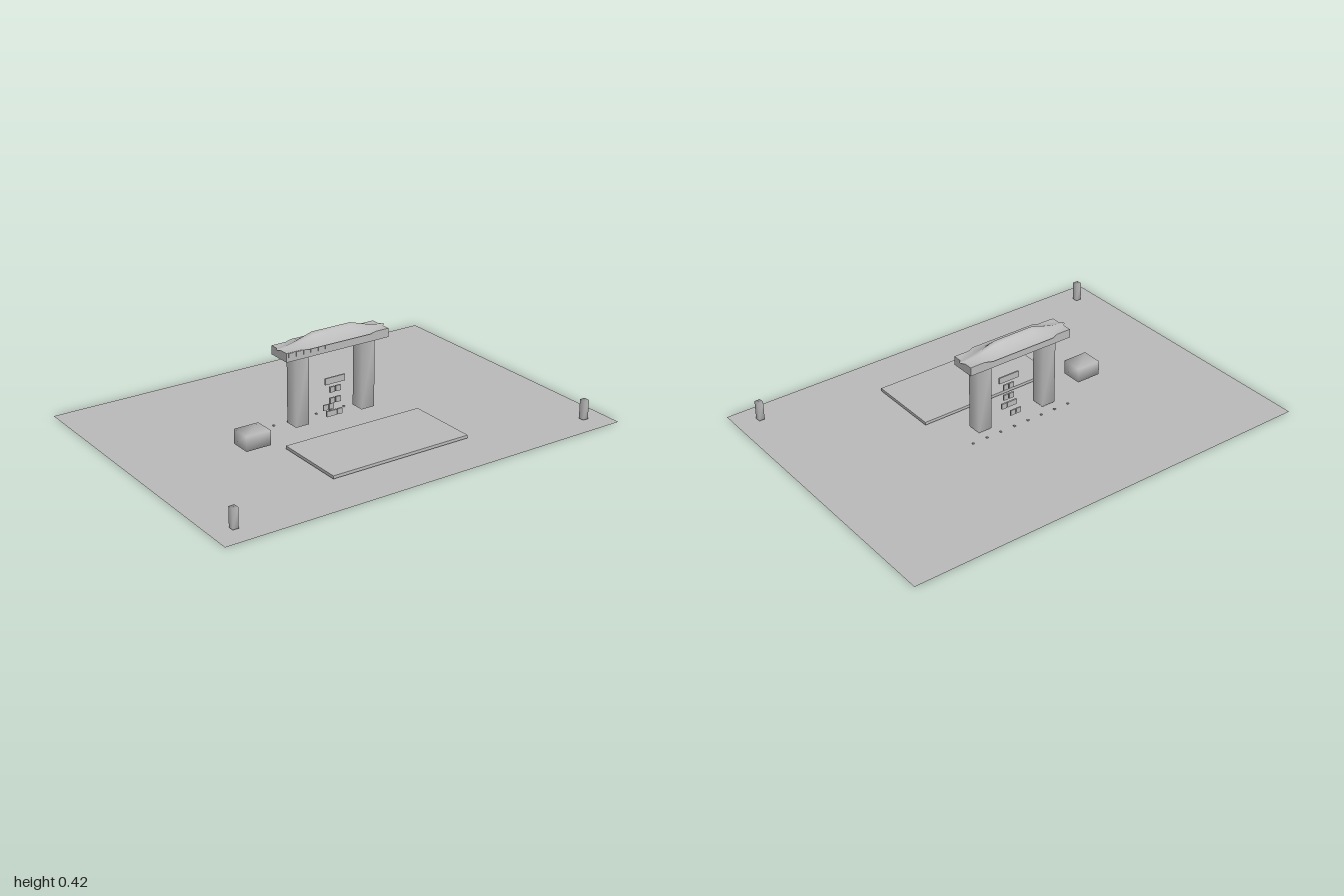
import * as THREE from 'three';
import { mergeVertices } from 'three/addons/utils/BufferGeometryUtils.js';

const stone = new THREE.MeshStandardMaterial({ color: 0xb8b8b8 });
stone.name = 'grey stone';
const ground = new THREE.MeshStandardMaterial({ color: 0xb8b8b8, side: THREE.DoubleSide });
ground.name = 'grey ground';

// Box from its limits; soft boxes share their corner normals
function block(parent, name, [x0, x1], [y0, y1], [z0, z1], soft = false) {
  let geo = new THREE.BoxGeometry(x1 - x0, y1 - y0, z1 - z0);
  if (soft) {
    geo.deleteAttribute('normal');
    geo.deleteAttribute('uv');
    geo = mergeVertices(geo);
    geo.computeVertexNormals();
  }
  const mesh = new THREE.Mesh(geo, stone);
  mesh.name = name;
  mesh.position.set((x0 + x1) / 2, (y0 + y1) / 2, (z0 + z1) / 2);
  parent.add(mesh);
  return mesh;
}

// Hipped roof with flared eaves, lofted from cross-sections along x
function roofGeometry() {
  // x, ridge height, half depth
  const half = [[0.28, 0.002, 0.002], [0.255, 0.004, 0.03], [0.2, 0.014, 0.056],
    [0.16, 0.027, 0.073], [0.1, 0.045, 0.073]];
  const stations = [...half.map(([x, h, d]) => [-x, h, d]), ...half.slice().reverse()];
  const steps = 12, ring = steps + 1, pos = [], idx = [];
  for (const [x, h, d] of stations) {
    for (let i = 0; i <= steps; i++) {
      const t = (i / steps) * 2 - 1;
      pos.push(x, 0.379 + h * Math.pow(1 - Math.abs(t), 1.6), t * d);
    }
  }
  for (let s = 0; s < stations.length - 1; s++) {
    const a = s * ring, b = a + ring;
    for (let i = 0; i < steps; i++) {
      idx.push(a + i, a + i + 1, b + i, a + i + 1, b + i + 1, b + i);
    }
  }
  // Flat underside with its own vertices
  const base = pos.length / 3;
  for (const [x, , d] of stations) pos.push(x, 0.378, -d, x, 0.378, d);
  for (let s = 0; s < stations.length - 1; s++) {
    const a = base + s * 2;
    idx.push(a, a + 2, a + 1, a + 1, a + 2, a + 3);
  }
  const geo = new THREE.BufferGeometry();
  geo.setAttribute('position', new THREE.Float32BufferAttribute(pos, 3));
  geo.setIndex(idx);
  geo.computeVertexNormals();
  return geo;
}

export function createModel() {
  const model = new THREE.Group();
  model.name = 'gateway plaza';

  const floor = new THREE.Mesh(new THREE.PlaneGeometry(2, 1.46), ground);
  floor.name = 'ground';
  floor.rotation.x = -Math.PI / 2;
  model.add(floor);

  // Low platform, side block and corner posts
  block(model, 'platform', [-0.35, 0.345], [0.005, 0.019], [0.145, 0.495]);
  block(model, 'sideBlock', [-0.515, -0.395], [0.017, 0.085], [0.0, 0.1], true);
  for (const x of [-0.897, 0.892]) {
    block(model, 'cornerPost', [x - 0.0135, x + 0.0135], [0.005, 0.095], [0.61, 0.638], true);
  }

  // Gateway
  const gate = new THREE.Group();
  gate.name = 'gateway';
  model.add(gate);
  for (const x of [-0.176, 0.171]) {
    block(gate, 'pillar', [x - 0.034, x + 0.034], [0.015, 0.338], [-0.058, 0.01], true);
  }
  block(gate, 'beam', [-0.268, 0.263], [0.338, 0.379], [-0.085, 0.032]);
  const roof = new THREE.Mesh(roofGeometry(), stone);
  roof.name = 'roof';
  roof.position.set(-0.002, 0, -0.027);
  gate.add(roof);

  // Small tiles along the left half of the beam
  for (let i = 0; i < 6; i++) {
    const x = -0.245 + i * 0.037;
    block(gate, 'beamTile', [x - 0.013, x + 0.013], [0.357, 0.378], [0.031, 0.036]);
  }

  // Floating column of tiles between the pillars
  block(gate, 'topTile', [-0.055, 0.05], [0.175, 0.205], [0.0, 0.007]);
  for (const [y, centres, z] of [
    [0.147, [-0.016, 0.014], 0.003],
    [0.095, [-0.016, 0.014], 0.003],
    [0.042, [-0.041, -0.016, 0.014], 0.016],
  ]) {
    for (const x of centres) {
      block(gate, 'hangingTile', [x - 0.013, x + 0.013], [y - 0.013, y + 0.013], [z - 0.004, z + 0.004]);
    }
  }
  // Rear tiles
  for (const x of [-0.016, 0.014]) {
    block(gate, 'rearTile', [x - 0.013, x + 0.013], [0.029, 0.055], [-0.05, -0.044]);
  }

  // Row of small studs behind the gateway
  for (let i = 0; i < 8; i++) {
    const x = -0.26 + i * 0.0743;
    block(model, 'groundStud', [x - 0.004, x + 0.004], [0, 0.005], [-0.094, -0.086]);
  }
  return model;
}
